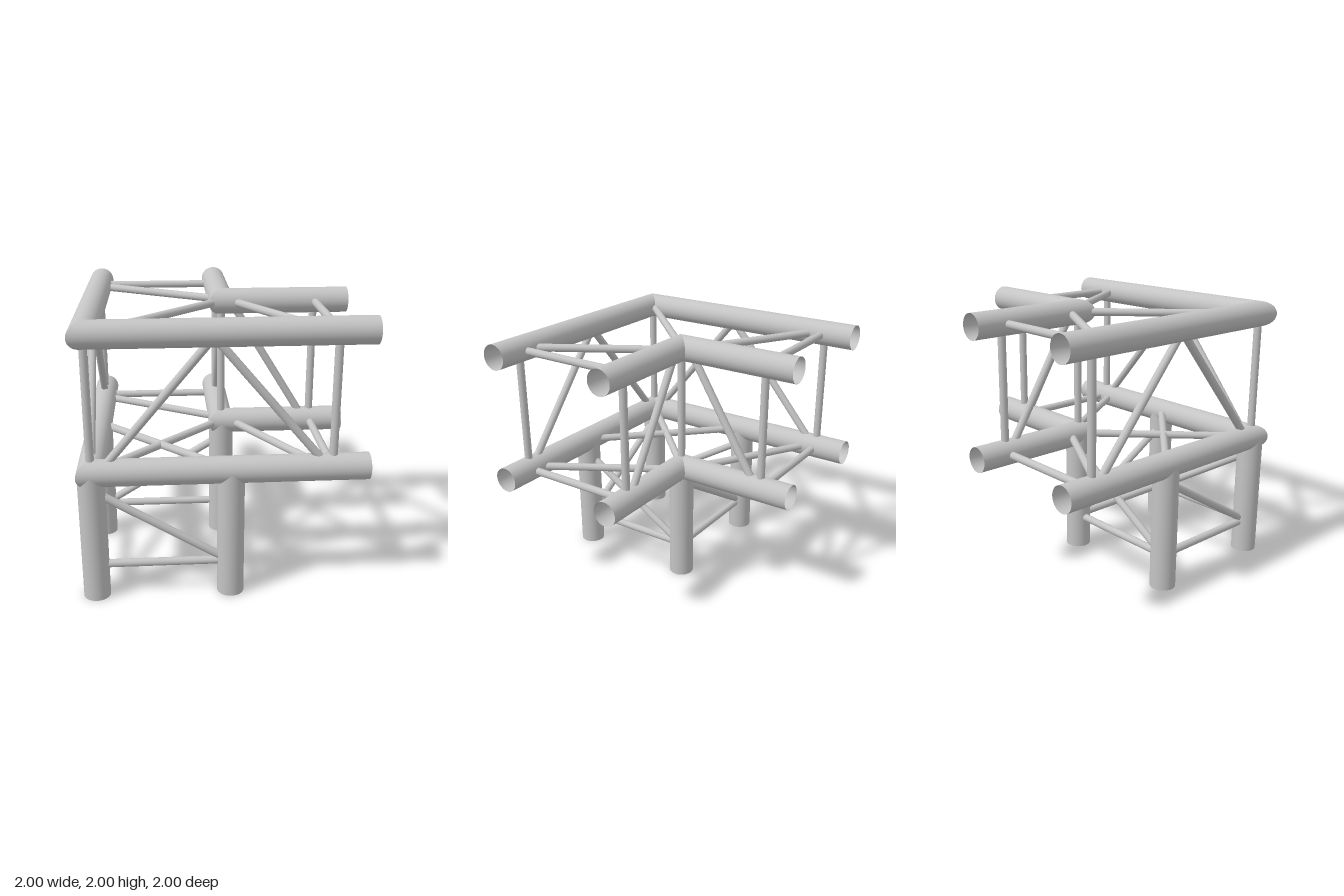
import * as THREE from 'three';

const OUT = 0.905, IN = 0.048;   // chord axes: x = -OUT / IN, z = OUT / -IN
const LOW = 0.945, HIGH = 1.905; // heights of the two chord levels
const R = 0.095, BRACE_R = 0.029;
const RUNG = 0.75, RING = 0.245;

export function createModel() {
  const model = new THREE.Group();
  model.name = 'trussCorner';
  const metal = new THREE.MeshStandardMaterial({ color: 0xc4c4c4, side: THREE.DoubleSide });
  metal.name = 'aluminium grey';

  // Open pipe from p to q, in model coordinates
  function pipe(name, p, q, radius, mitre) {
    const a = new THREE.Vector3(...p), b = new THREE.Vector3(...q);
    const dir = b.clone().sub(a);
    const geo = new THREE.CylinderGeometry(radius, radius, dir.length(), radius > 0.05 ? 48 : 20, 1, true);
    geo.applyQuaternion(new THREE.Quaternion().setFromUnitVectors(
      new THREE.Vector3(0, 1, 0), dir.clone().normalize()));
    const mid = a.clone().add(b).multiplyScalar(0.5);
    geo.translate(mid.x, mid.y, mid.z);
    if (mitre) mitre(geo.attributes.position);
    const mesh = new THREE.Mesh(geo, metal);
    mesh.name = name;
    model.add(mesh);
  }

  // The x arm and the z arm mirror each other across the plane x = -z
  const flip = ([x, y, z]) => [-z, y, -x];
  function bracePair(name, p, q) {
    pipe(name + 'X', p, q, BRACE_R);
    pipe(name + 'Z', flip(p), flip(q), BRACE_R);
  }

  // Chords, cut at 45 degrees where they meet at the corners
  for (const y of [LOW, HIGH]) {
    for (const [cx, cz] of [[-OUT, OUT], [IN, -IN]]) {
      pipe('chordX', [cx, y, cz], [1, y, cz], R, pos => {
        for (let i = 0; i < pos.count; i++) if (pos.getX(i) < 0.9) pos.setX(i, -pos.getZ(i));
      });
      pipe('chordZ', [cx, y, cz], [cx, y, -1], R, pos => {
        for (let i = 0; i < pos.count; i++) if (pos.getZ(i) > -0.9) pos.setZ(i, -pos.getX(i));
      });
    }
    // Horizontal rung and diagonal of each arm
    bracePair('armRung', [RUNG, y, OUT], [RUNG, y, -IN]);
    bracePair('armDiagonal', [0.12, y, -IN], [0.69, y, OUT]);
    // Corner to corner brace
    pipe('cornerBrace', [-OUT, y, OUT], [IN, y, -IN], BRACE_R);
  }
  pipe('crossBrace', [-OUT, LOW, -IN], [IN, LOW, OUT], BRACE_R);

  // Uprights between the levels
  pipe('outerUpright', [-OUT, LOW, OUT], [-OUT, HIGH, OUT], BRACE_R);
  pipe('innerUpright', [IN, LOW, -IN], [IN, HIGH, -IN], BRACE_R);
  bracePair('outerEndUpright', [RUNG, LOW, OUT], [RUNG, HIGH, OUT]);
  bracePair('innerEndUpright', [RUNG, LOW, -IN], [RUNG, HIGH, -IN]);

  // Sloping braces on the arm sides
  bracePair('outerRisingBrace', [-0.85, LOW, OUT], [-0.045, HIGH, OUT]);
  bracePair('outerFallingBrace', [-0.09, HIGH, OUT], [0.72, LOW, OUT]);
  bracePair('innerFallingBrace', [0.12, HIGH, -IN], [0.71, LOW, -IN]);

  // Legs, with a ring of rungs and one diagonal on each side
  const legs = [[-OUT, OUT], [IN, OUT], [IN, -IN], [-OUT, -IN]];
  legs.forEach(([x, z], i) => {
    const [nx, nz] = legs[(i + 1) % 4];
    pipe('leg', [x, 0, z], [x, LOW, z], R);
    pipe('legRung', [x, RING, z], [nx, RING, nz], BRACE_R);
    pipe('legDiagonal', [x, 0.815, z], [nx, 0.235, nz], BRACE_R);
  });

  return model;
}
